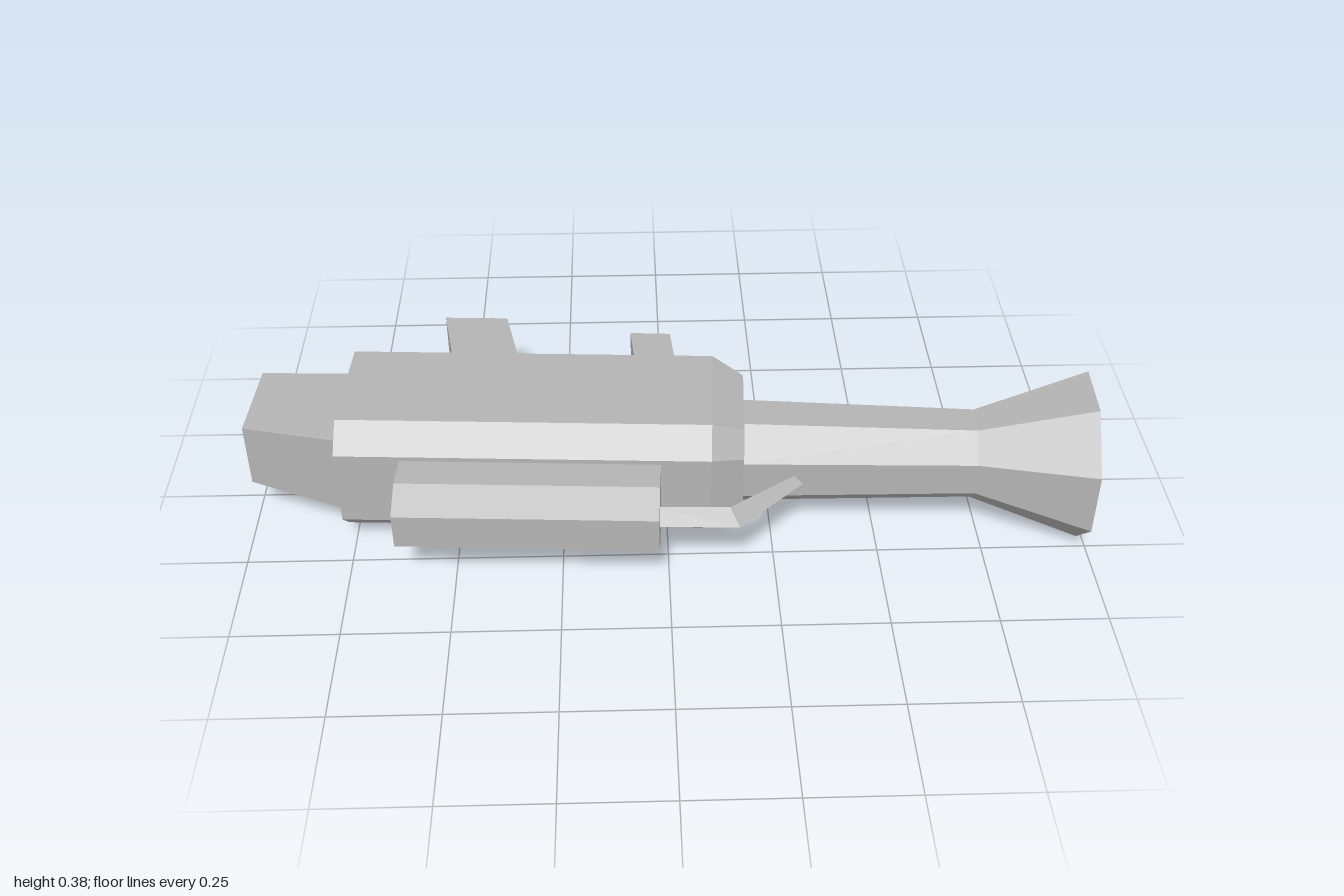
import * as THREE from 'three';

const steel = new THREE.MeshStandardMaterial({ color: 0xb4b4b4, flatShading: true });
steel.name = 'grey steel';

const AXIS_Y = 0.189; // height of the barrel axis

// Closed skin through rings of [x, y, z]; rings run counter-clockwise seen from the last one
function loft(name, rings) {
  const pos = [];
  const tri = (a, b, c) => pos.push(...a, ...b, ...c);
  const n = rings[0].length;
  for (let i = 0; i < rings.length - 1; i++) {
    for (let j = 0; j < n; j++) {
      const k = (j + 1) % n, a = rings[i], b = rings[i + 1];
      tri(a[j], a[k], b[k]);
      tri(a[j], b[k], b[j]);
    }
  }
  const first = rings[0], last = rings[rings.length - 1];
  for (let j = 1; j < n - 1; j++) {
    tri(first[0], first[j + 1], first[j]);
    tri(last[0], last[j], last[j + 1]);
  }
  const geo = new THREE.BufferGeometry();
  geo.setAttribute('position', new THREE.Float32BufferAttribute(pos, 3));
  geo.computeVertexNormals();
  return named(name, geo);
}

function named(name, geo) {
  const mesh = new THREE.Mesh(geo, steel);
  mesh.name = name;
  return mesh;
}

// Box section at x, bevelled (dz deep, dy high) along its two +z edges
function section(x, z0, z1, h, dz, dy) {
  const ring = [[x, -h, z0], [x, h, z0]];
  if (dz) ring.push([x, h, z1 - dz], [x, h - dy, z1], [x, dy - h, z1], [x, -h, z1 - dz]);
  else ring.push([x, h, z1], [x, -h, z1]);
  return ring;
}

// Plate outlined by [x, z] corners, centred on the axis height
function plate(name, corners, thickness) {
  const shape = new THREE.Shape(corners.map(([x, z]) => new THREE.Vector2(x, -z)));
  const geo = new THREE.ExtrudeGeometry(shape, { depth: thickness, bevelEnabled: false });
  geo.rotateX(-Math.PI / 2);
  geo.translate(0, -thickness / 2, 0);
  return named(name, geo);
}

export function createModel() {
  const model = new THREE.Group();
  model.name = 'launcher';
  model.position.y = AXIS_Y;

  // Parts along the barrel, which is turned slightly off the x axis
  const main = new THREE.Group();
  main.name = 'barrelAssembly';
  main.rotation.y = -0.052;
  model.add(main);

  // Receiver with bevelled top edges and a tapered nose
  main.add(loft('receiver', [
    section(-0.758, -0.086, 0.25, 0.155, 0.06, 0.06),
    section(0.112, -0.086, 0.25, 0.155, 0.06, 0.06),
    section(0.187, -0.05, 0.216, 0.124, 0.048, 0.048),
  ]));

  // Tapered rear block
  main.add(loft('rearBlock', [
    section(-0.996, -0.094, 0.132, 0.081),
    section(-0.757, -0.065, 0.203, 0.103),
  ]));

  // Octagonal barrel with a hollow flared muzzle: [distance, flat radius]
  const profile = [
    [0.18, 0], [0.18, 0.115], [0.734, 0.1], [0.998, 0.189],
    [0.998, 0.154], [0.81, 0.092], [0.81, 0],
  ].map(([d, r]) => new THREE.Vector2(r / Math.cos(Math.PI / 8), d));
  const barrelGeo = new THREE.LatheGeometry(profile, 8, Math.PI / 8);
  barrelGeo.rotateZ(-Math.PI / 2);
  const barrel = named('barrel', barrelGeo);
  barrel.position.z = 0.084;
  main.add(barrel);

  // Bevelled sight tube on the +z side
  main.add(loft('sightTube', [
    section(-0.607, 0.245, 0.401, 0.084, 0.07, 0.041),
    section(-0.004, 0.245, 0.401, 0.084, 0.07, 0.041),
  ]));

  // Bent three-sided rod: [base x, base z, ridge x, ridge z, half height]
  main.add(loft('bentRod', [
    [-0.02, 0.332, -0.02, 0.37, 0.026],
    [0.155, 0.328, 0.178, 0.368, 0.026],
    [0.306, 0.198, 0.327, 0.208, 0.015],
  ].map(([bx, bz, rx, rz, h]) => [[bx, -h, bz], [bx, h, bz], [rx, 0, rz]])));

  // Grips and trigger on the -z side
  model.add(plate('rearGrip', [[-0.56, -0.408], [-0.505, -0.08], [-0.335, -0.08], [-0.4, -0.4]], 0.124));
  model.add(plate('frontGrip', [[-0.08, -0.342], [-0.06, -0.07], [0.041, -0.07], [0.022, -0.335]], 0.098));
  model.add(plate('trigger', [[-0.287, -0.195], [-0.312, -0.09], [-0.238, -0.09]], 0.04));

  return model;
}
